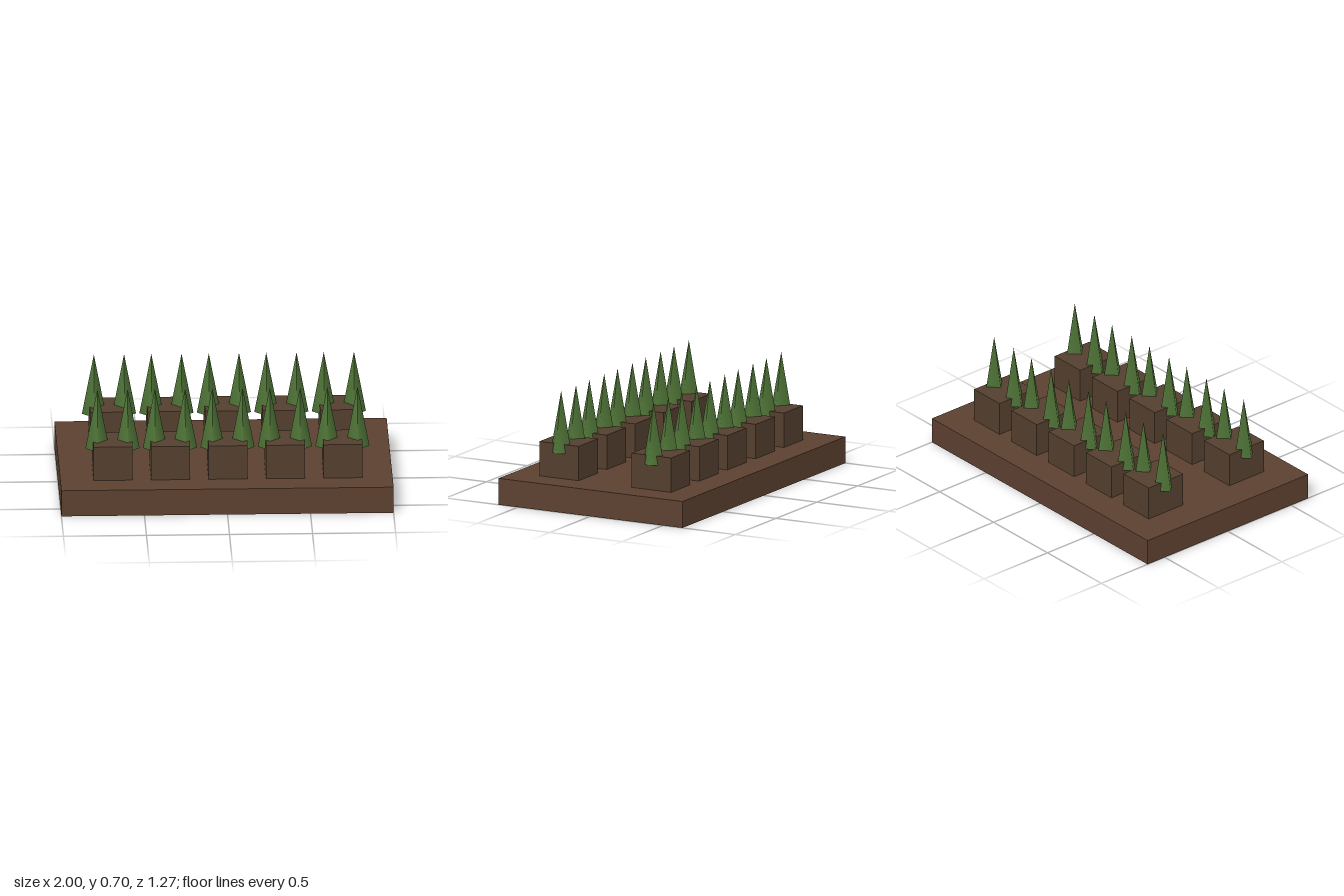
import * as THREE from 'three';

export function createModel() {
  const model = new THREE.Group();
  model.name = 'treePlanterBoard';

  const soil = new THREE.MeshStandardMaterial({ color: 0x5c4030 });
  const wood = new THREE.MeshStandardMaterial({ color: 0x533f2e });
  const leaf = new THREE.MeshStandardMaterial({ color: 0x4f7437 });

  function add(parent, name, geometry, material, x, y, z) {
    const mesh = new THREE.Mesh(geometry, material);
    mesh.name = name;
    mesh.position.set(x, y, z);
    parent.add(mesh);
  }

  // Flat ground slab
  const baseH = 0.163;
  add(model, 'base', new THREE.BoxGeometry(2, baseH, 1.27), soil, 0, baseH / 2, 0);

  // Two rows of five planters, each with a pair of four-sided trees
  const boxH = 0.212;
  const planterGeometry = new THREE.BoxGeometry(0.235, boxH, 0.272);
  const treeH = 0.377;
  const treeGeometry = new THREE.ConeGeometry(0.072, treeH, 4);

  for (const z of [-0.319, 0.319]) {
    for (let i = -2; i <= 2; i++) {
      const planter = new THREE.Group();
      planter.name = 'planter';
      planter.position.set(0.01 + i * 0.346, 0, z);
      add(planter, 'planterBox', planterGeometry, wood, 0, baseH + boxH / 2, 0);
      for (const side of [-1, 1]) {
        add(planter, 'tree', treeGeometry, leaf, side * 0.091, 0.32 + treeH / 2, 0);
      }
      model.add(planter);
    }
  }
  return model;
}
